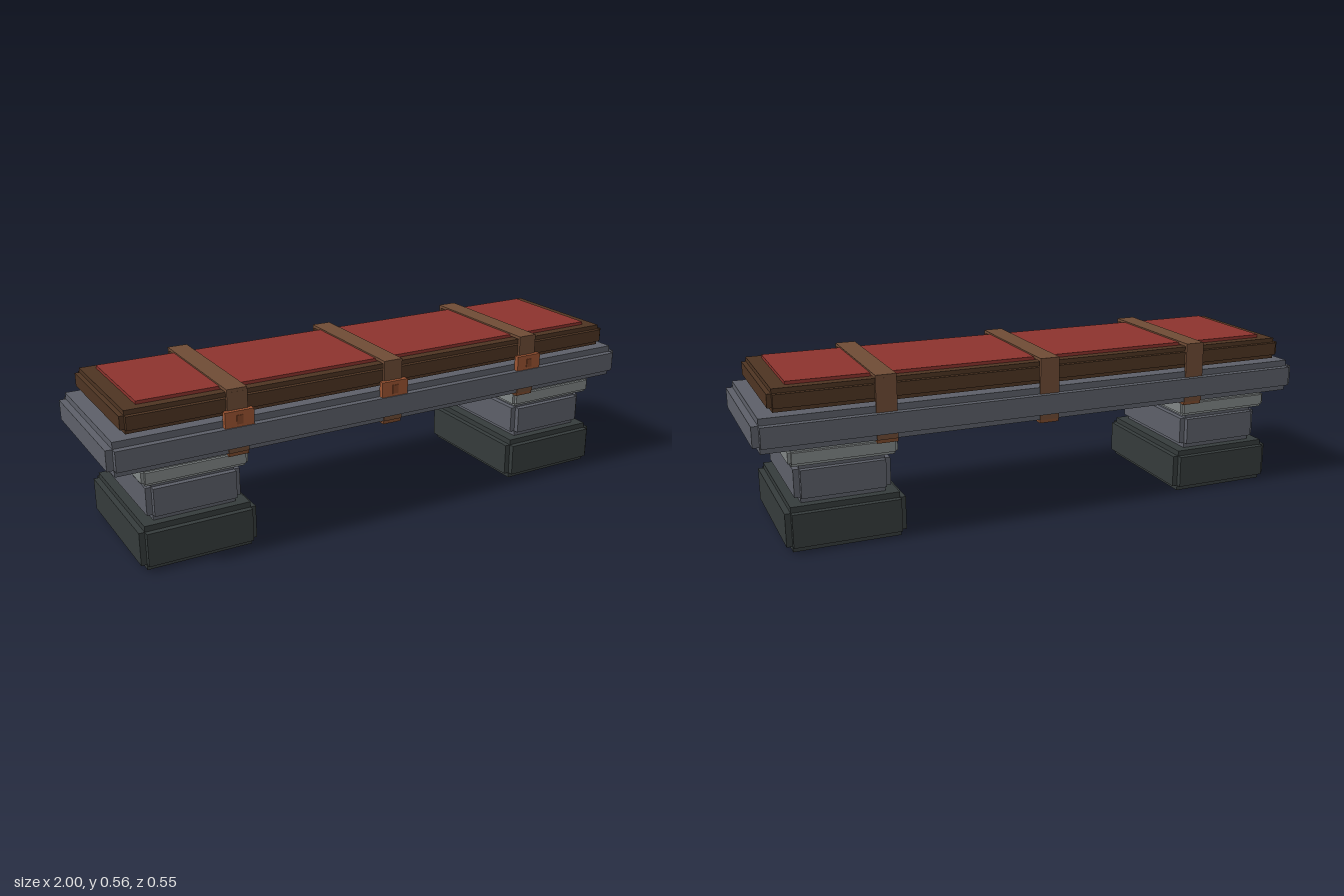
import * as THREE from 'three';

const mat = (name, color) => {
  const m = new THREE.MeshStandardMaterial({ color });
  m.name = name;
  return m;
};

export function createModel() {
  const stone = mat('grey stone', 0x5c5f68);
  const darkStone = mat('dark stone', 0x353b3b);
  const paleStone = mat('pale stone', 0x808585);
  const wood = mat('dark wood', 0x4d3422);
  const cloth = mat('red cloth', 0x8c332d);
  const leather = mat('brown leather', 0x6e4b35);
  const underLeather = mat('under leather', 0x7c4a2d);
  const copper = mat('copper', 0x9c5432);
  const darkCopper = mat('dark copper', 0x834629);

  const model = new THREE.Group();
  model.name = 'bench';

  // Plain box from its centre (x, z), vertical range and full sizes
  const box = (parent, name, material, x, z, y0, y1, w, d) => {
    const mesh = new THREE.Mesh(new THREE.BoxGeometry(w, y1 - y0, d), material);
    mesh.name = name;
    mesh.position.set(x, (y0 + y1) / 2, z);
    parent.add(mesh);
    return mesh;
  };

  // Block with stepped edges: three crossing boxes, each inset on two axes
  const steppedBlock = (parent, name, material, x, y0, y1, w, d, s) => {
    const block = new THREE.Group();
    block.name = name;
    box(block, name + 'Ends', material, x, 0, y0 + s, y1 - s, w, d - 2 * s);
    box(block, name + 'Sides', material, x, 0, y0 + s, y1 - s, w - 2 * s, d);
    box(block, name + 'Core', material, x, 0, y0, y1, w - 2 * s, d - 2 * s);
    parent.add(block);
  };

  // Two pedestals: foot, shaft and capital
  for (const side of [-1, 1]) {
    const pedestal = new THREE.Group();
    pedestal.name = side > 0 ? 'leftPedestal' : 'rightPedestal';
    const x = side * 0.714;
    steppedBlock(pedestal, 'foot', darkStone, x, 0, 0.153, 0.4, 0.516, 0.0195);
    steppedBlock(pedestal, 'shaft', stone, x, 0.153, 0.287, 0.32, 0.458, 0.0195);
    steppedBlock(pedestal, 'capital', paleStone, x, 0.287, 0.345, 0.358, 0.496, 0.0105);
    model.add(pedestal);
  }

  // Seat slab, wooden tray and cloth pad
  steppedBlock(model, 'slab', stone, 0, 0.345, 0.459, 2, 0.552, 0.0225);
  steppedBlock(model, 'tray', wood, 0, 0.468, 0.544, 1.888, 0.498, 0.0155);
  box(model, 'pad', cloth, 0, 0, 0.535, 0.555, 1.76, 0.4);

  // Three straps around the seat, each with a buckle at the front
  for (const x of [-0.572, 0, 0.572]) {
    const strap = new THREE.Group();
    strap.name = 'strap';
    box(strap, 'strapTop', leather, x, 0, 0.5495, 0.56, 0.07, 0.516);
    for (const side of [-1, 1])
      box(strap, 'strapSide', leather, x, side * 0.2528, 0.345, 0.5495, 0.07, 0.0105);
    box(strap, 'strapBottom', underLeather, x, 0, 0.333, 0.345, 0.07, 0.508);
    box(strap, 'buckle', copper, x, 0.2625, 0.434, 0.49, 0.1, 0.019);
    box(strap, 'bucklePin', darkCopper, x, 0.2725, 0.446, 0.476, 0.022, 0.004);
    model.add(strap);
  }

  return model;
}
